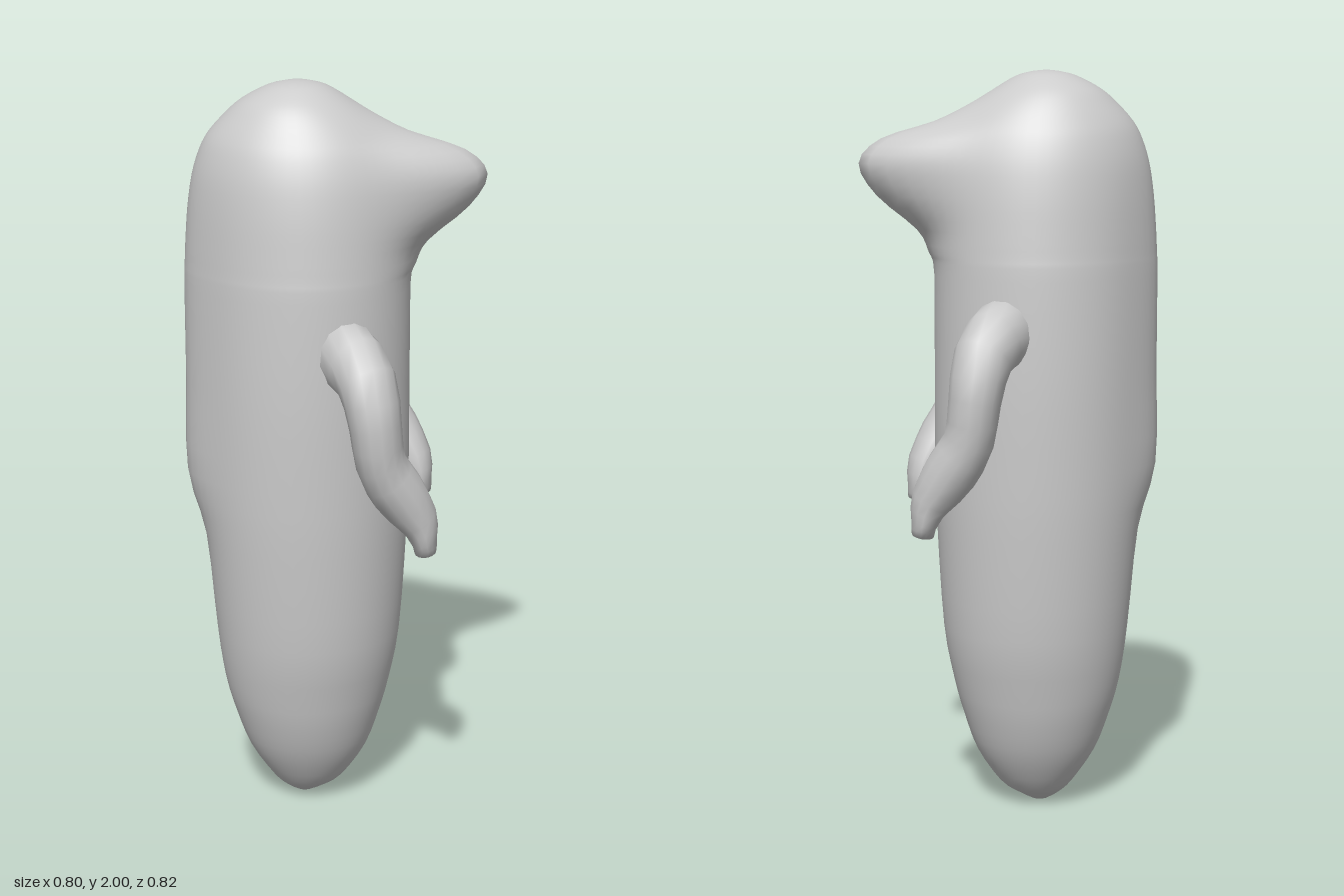
import * as THREE from 'three';

const material = new THREE.MeshStandardMaterial({ color: 0xcccccc });

// Smooth skin over closed rings of equal size, each end closed to a centre point
function loft(rings, start, end) {
  const n = rings[0].length, index = [];
  const points = [...rings.flat(), start, end];
  const first = points.length - 2, last = points.length - 1;
  for (let j = 0; j < n; j++) {
    const k = (j + 1) % n, top = (rings.length - 1) * n;
    for (let i = 0; i < rings.length - 1; i++) {
      const a = i * n + j, b = i * n + k;
      index.push(a, a + n, b, b, a + n, b + n);
    }
    index.push(first, j, k, last, top + k, top + j);
  }
  const geometry = new THREE.BufferGeometry().setFromPoints(points);
  geometry.setIndex(index);
  geometry.computeVertexNormals();
  return geometry;
}

const spline = (points) => new THREE.CatmullRomCurve3(points, false, 'catmullrom', 0.5);

// Body rows: height, back x, front x, half width, back ridge depth, beak length
const bodyRows = [
  [0.004, -0.11, -0.06, 0.025, 0, 0], [0.025, -0.143, -0.022, 0.058, 0, 0],
  [0.06, -0.178, 0.027, 0.097, 0, 0], [0.15, -0.238, 0.088, 0.152, 0, 0],
  [0.25, -0.276, 0.124, 0.19, 0, 0], [0.35, -0.304, 0.151, 0.215, 0, 0],
  [0.5, -0.325, 0.178, 0.244, 0, 0], [0.77, -0.348, 0.195, 0.266, 0.004, 0],
  [0.95, -0.357, 0.2, 0.274, 0.043, 0], [1.2, -0.358, 0.2, 0.279, 0.042, 0],
  [1.46, -0.358, 0.2, 0.273, 0.042, 0], [1.52, -0.358, 0.2, 0.268, 0.04, 0.015],
  [1.58, -0.358, 0.198, 0.262, 0.037, 0.048], [1.67, -0.357, 0.192, 0.252, 0.031, 0.16],
  [1.755, -0.353, 0.182, 0.237, 0.022, 0.217], [1.82, -0.34, 0.163, 0.217, 0.015, 0.177],
  [1.865, -0.322, 0.14, 0.195, 0.009, 0.06], [1.91, -0.287, 0.095, 0.168, 0.004, 0.012],
  [1.95, -0.245, 0.04, 0.134, 0, 0], [1.985, -0.178, -0.02, 0.08, 0, 0],
  [1.997, -0.13, -0.065, 0.035, 0, 0],
];

function bodyGeometry() {
  const outline = spline(bodyRows.map(([y, back, front]) => new THREE.Vector3(back, y, front)));
  const extra = spline(bodyRows.map(([, , , width, ridge, beak]) => new THREE.Vector3(width, ridge, beak)));
  const rings = [], steps = (bodyRows.length - 1) * 3, sides = 56;
  for (let i = 0; i <= steps; i++) {
    const o = outline.getPoint(i / steps), e = extra.getPoint(i / steps);
    const middle = (o.x + o.z) / 2, half = (o.z - o.x) / 2;
    const ring = [];
    for (let j = 0; j < sides; j++) {
      const a = (j / sides) * Math.PI * 2;
      const x = half * Math.cos(a), z = e.x * Math.sin(a);
      // The beak swells around the front direction, a soft ridge around the back
      const angle = Math.atan2(z, x), turn = Math.abs(angle);
      const push = Math.max(0, e.z) * Math.exp(-((turn / 0.39) ** 1.6))
        + Math.max(0, e.y) * Math.exp(-(((Math.PI - turn) / 0.42) ** 2));
      ring.push(new THREE.Vector3(middle + x + push * Math.cos(angle), o.y, z + push * Math.sin(angle)));
    }
    rings.push(ring);
  }
  return loft(rings, new THREE.Vector3(-0.085, 0, 0), new THREE.Vector3(-0.1, 2, 0));
}

// Arm rows from shoulder to hand: x, y, z, radius along x, radius across
const armRows = [
  [-0.01, 1.3, 0.13, 0.08, 0.09], [0.03, 1.322, 0.22, 0.085, 0.097],
  [0.085, 1.27, 0.306, 0.078, 0.088], [0.108, 1.16, 0.325, 0.068, 0.085],
  [0.122, 1.06, 0.316, 0.066, 0.08], [0.165, 0.98, 0.295, 0.07, 0.08],
  [0.217, 0.9, 0.272, 0.055, 0.074], [0.236, 0.84, 0.266, 0.036, 0.069],
  [0.241, 0.803, 0.266, 0.029, 0.052],
];

function armGeometry(side) {
  const path = spline(armRows.map(([x, y, z]) => new THREE.Vector3(x, y, z * side)));
  const radii = spline(armRows.map(([, , , rx, rz]) => new THREE.Vector3(rx, rz, 0)));
  const rings = [], steps = (armRows.length - 1) * 2, sides = 14;
  for (let i = 0; i <= steps; i++) {
    const p = path.getPoint(i / steps), t = path.getTangent(i / steps), r = radii.getPoint(i / steps);
    const v = new THREE.Vector3(1, 0, 0).addScaledVector(t, -t.x).normalize();
    const u = new THREE.Vector3().crossVectors(v, t);
    rings.push(Array.from({ length: sides }, (_, j) => {
      const a = (j / sides) * Math.PI * 2;
      return p.clone().addScaledVector(v, r.x * Math.cos(a)).addScaledVector(u, r.y * Math.sin(a));
    }));
  }
  return loft(rings, path.getPoint(0), new THREE.Vector3(0.243, 0.792, 0.266 * side));
}

export function createModel() {
  const model = new THREE.Group();
  const add = (name, geometry) => {
    const mesh = new THREE.Mesh(geometry, material);
    mesh.name = name;
    model.add(mesh);
  };
  add('bodyWithBeak', bodyGeometry());
  add('armFront', armGeometry(1));
  add('armBack', armGeometry(-1));
  return model;
}
